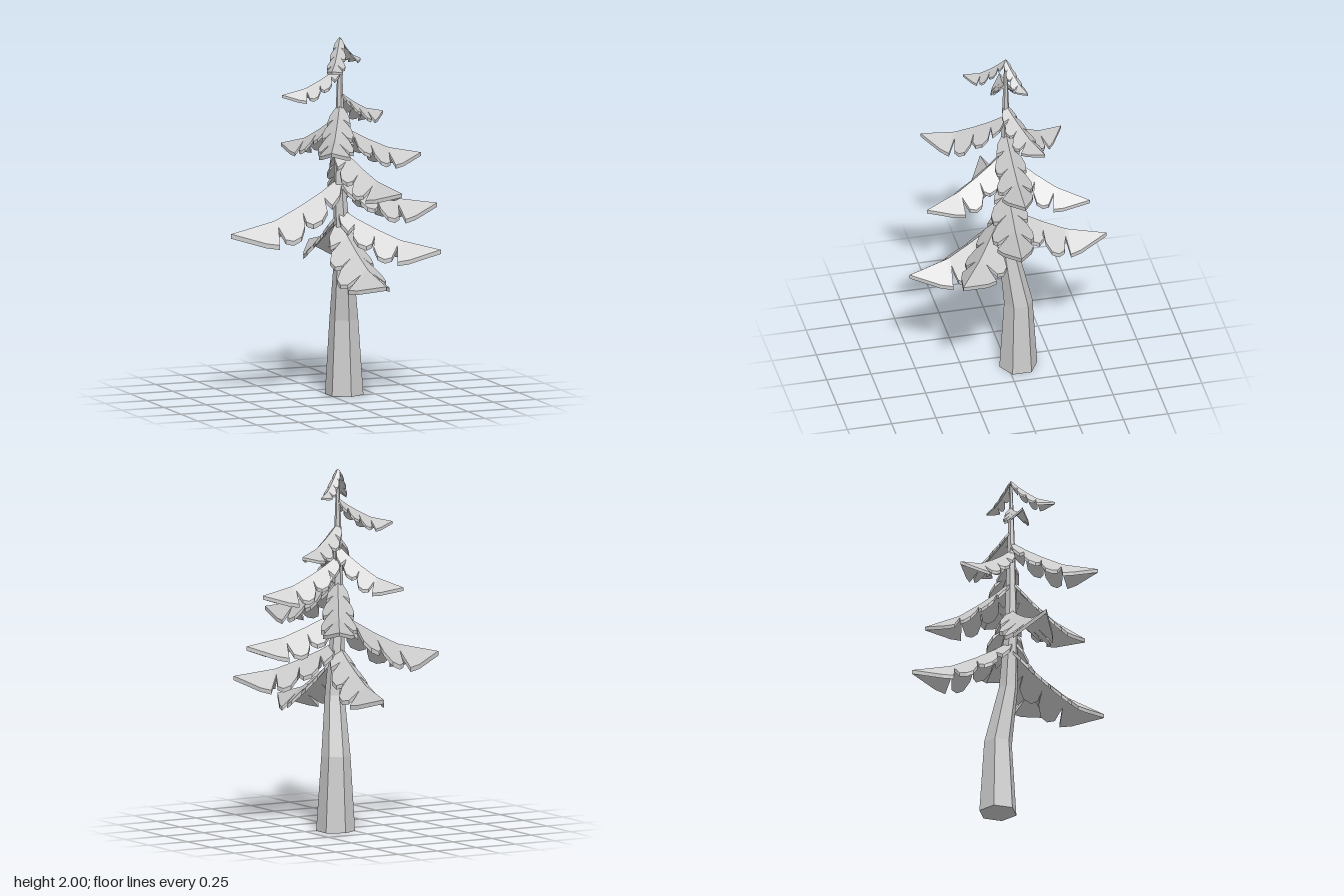
import * as THREE from 'three';

const material = new THREE.MeshStandardMaterial({ color: 0xcccccc, flatShading: true });

// Trunk rings: y, centre x, centre z, radius
const RINGS = [
  [0, 0.09, -0.06, 0.107],
  [0.42, 0.088, -0.06, 0.08],
  [0.75, 0.065, -0.008, 0.054],
  [1.1, 0.042, 0, 0.038],
  [1.6, 0.04, 0, 0.022],
  [1.97, 0.04, 0, 0.008],
];

// Ridge of a branch: distance along, share of the total drop
const RIDGE = [[0, 0], [0.17, 0.27], [0.36, 0.52], [0.6, 0.79], [1, 1]];

// Notched rim of a branch: distance along, relative half width
const RIM = [
  [0, 0.25], [0.04, 0.6], [0.12, 0.75], [0.16, 0.3],
  [0.17, 0.8], [0.23, 1.0], [0.31, 0.95], [0.355, 0.7], [0.36, 0.3],
  [0.375, 0.8], [0.43, 1.12], [0.5, 1.12], [0.56, 0.9], [0.585, 0.3],
  [0.62, 1.0], [0.73, 0.78], [1, 0],
];

// Branches: root height, tip x, y, z, width factor
const BRANCHES = [
  [0.98, 0.095, 0.69, 0.555, 1.25],
  [1.03, 0.08, 0.79, -0.56, 1],
  [1.05, 0.5, 0.84, 0.345, 1],
  [1.22, -0.6, 0.94, -0.005, 1],
  [1.22, 0.6, 1.05, 0.04, 1],
  [1.39, 0.28, 1.16, -0.42, 1],
  [1.4, 0.215, 1.19, 0.485, 1],
  [1.52, 0.52, 1.33, 0, 1],
  [1.58, -0.165, 1.37, -0.36, 1],
  [1.63, -0.18, 1.43, 0.43, 1],
  [1.7, 0.355, 1.55, -0.15, 1],
  [1.84, -0.285, 1.69, -0.04, 1],
  [2.0, 0.2, 1.86, -0.09, 1],
  [2.0, -0.09, 1.845, 0.21, 1],
];

function ridgeDrop(t) {
  let i = 0;
  while (i < RIDGE.length - 2 && t > RIDGE[i + 1][0]) i++;
  const [t0, d0] = RIDGE[i], [t1, d1] = RIDGE[i + 1];
  return d0 + (d1 - d0) * (t - t0) / (t1 - t0);
}

function makeTrunk() {
  const n = RINGS.length - 1;
  const geo = new THREE.CylinderGeometry(1, 1, 1, 6, n);
  const p = geo.attributes.position;
  for (let i = 0; i < p.count; i++) {
    const [y, cx, cz, r] = RINGS[Math.round((p.getY(i) + 0.5) * n)];
    p.setXYZ(i, cx + p.getX(i) * r, y, cz + p.getZ(i) * r);
  }
  geo.computeVertexNormals();
  const mesh = new THREE.Mesh(geo, material);
  mesh.name = 'trunk';
  return mesh;
}

// Drooping bough: a ridge with a sloping, notched slab on each side
function makeBranch([rootY, x, y, z, widthFactor]) {
  const root = new THREE.Vector3(0.04, rootY, 0);
  const run = new THREE.Vector3(x - root.x, 0, z);
  const length = run.length();
  const width = 0.18 * length * widthFactor;
  const droop = 0.18 * length;
  const thick = 0.005 + 0.032 * length;
  const side = new THREE.Vector3(run.z, 0, -run.x).normalize();
  const pos = [];

  for (const s of [1, -1]) {
    const quad = (a, b, c, d) => {
      const order = s > 0 ? [a, b, c, a, c, d] : [a, c, b, a, d, c];
      for (const v of order) pos.push(v.x, v.y, v.z);
    };
    const rows = RIM.map(([t, w]) => {
      const top = root.clone().addScaledVector(run, t);
      top.y -= (rootY - y) * ridgeDrop(t);
      const rim = top.clone().addScaledVector(side, s * w * width);
      rim.y -= w * droop;
      const down = (v) => new THREE.Vector3(v.x, v.y - thick, v.z);
      return { top, rim, low: down(rim), under: down(top) };
    });
    quad(rows[0].top, rows[0].rim, rows[0].low, rows[0].under);
    for (let i = 0; i < rows.length - 1; i++) {
      const a = rows[i], b = rows[i + 1];
      quad(a.top, b.top, b.rim, a.rim);
      quad(a.rim, b.rim, b.low, a.low);
      quad(a.low, b.low, b.under, a.under);
    }
  }

  const geo = new THREE.BufferGeometry();
  geo.setAttribute('position', new THREE.Float32BufferAttribute(pos, 3));
  geo.computeVertexNormals();
  const mesh = new THREE.Mesh(geo, material);
  mesh.name = 'branch';
  return mesh;
}

export function createModel() {
  const tree = new THREE.Group();
  tree.name = 'pineTree';
  tree.add(makeTrunk());
  const branches = new THREE.Group();
  branches.name = 'branches';
  for (const spec of BRANCHES) branches.add(makeBranch(spec));
  tree.add(branches);
  return tree;
}
